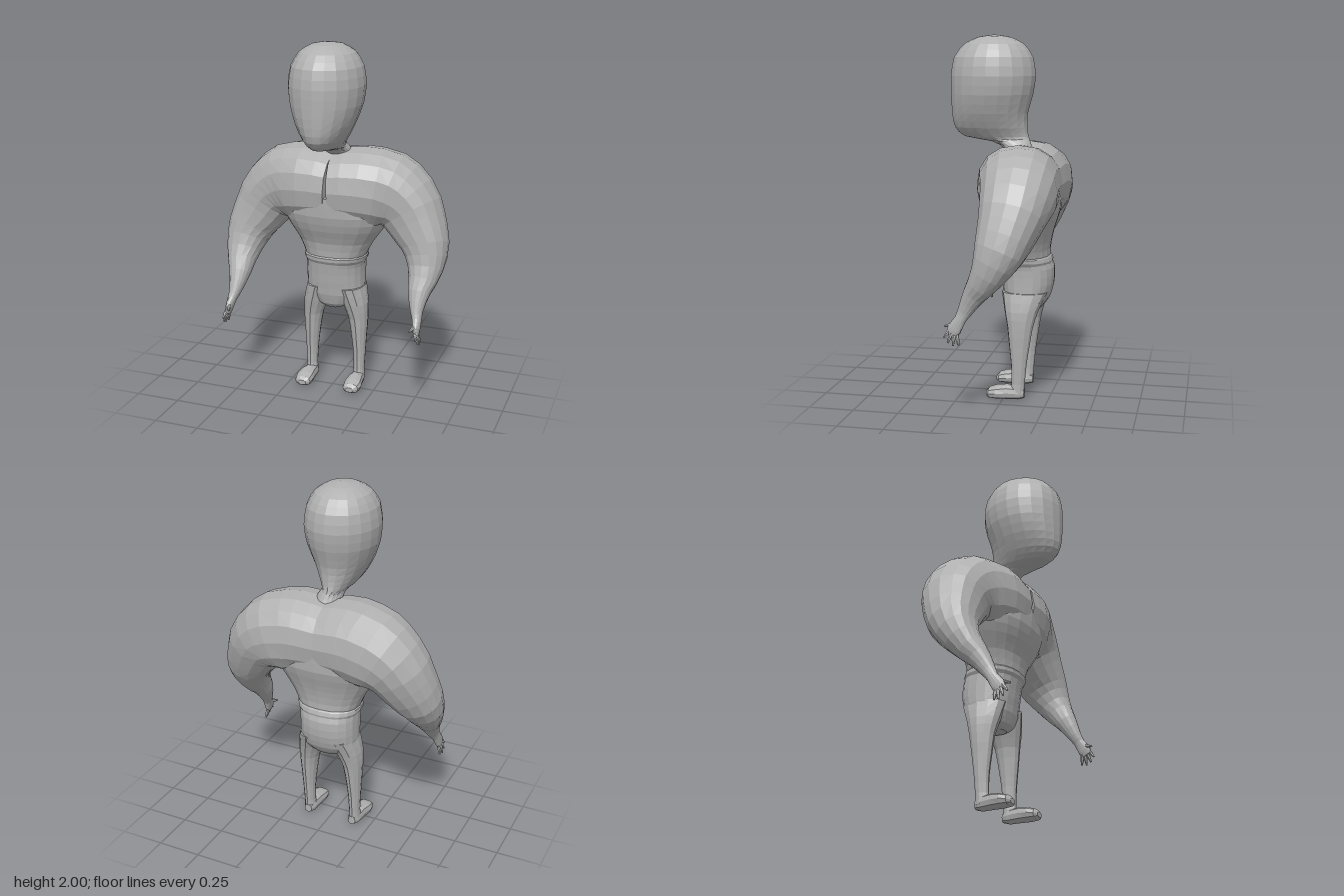
import * as THREE from 'three';

const V = (x, y, z) => new THREE.Vector3(x, y, z);
const Y = V(0, 1, 0), Z = V(0, 0, 1);

// Lofts super-elliptic rings through sections [x, y, z, radiusU, radiusV].
// Rings face along the path, or along fixedT when it is given.
function loft(sections, { sides = 16, sub = 2, ref = Z, fixedT = null, power = 2 } = {}) {
  const path = new THREE.CatmullRomCurve3(sections.map(s => V(s[0], s[1], s[2])));
  const size = new THREE.CatmullRomCurve3(sections.map(s => V(s[3], s[4], 0)));
  const n = (sections.length - 1) * sub;
  const pos = [], index = [];
  const bend = c => Math.sign(c) * Math.abs(c) ** (2 / power);
  for (let i = 0; i <= n; i++) {
    const c = path.getPoint(i / n), r = size.getPoint(i / n);
    const t = fixedT || path.getTangent(i / n);
    const u = ref.clone().cross(t).normalize(), v = t.clone().cross(u).normalize();
    for (let j = 0; j < sides; j++) {
      const a = (j / sides) * Math.PI * 2;
      const p = c.clone().addScaledVector(u, r.x * bend(Math.cos(a))).addScaledVector(v, r.y * bend(Math.sin(a)));
      pos.push(p.x, p.y, p.z);
    }
  }
  for (let i = 0; i < n; i++) {
    for (let j = 0; j < sides; j++) {
      const k = (j + 1) % sides, a = i * sides, b = a + sides;
      index.push(a + j, a + k, b + k, a + j, b + k, b + j);
    }
  }
  // End caps
  const start = pos.length / 3, end = start + 1;
  pos.push(...path.getPoint(0).toArray(), ...path.getPoint(1).toArray());
  for (let j = 0; j < sides; j++) {
    const k = (j + 1) % sides;
    index.push(start, k, j, end, n * sides + j, n * sides + k);
  }
  const g = new THREE.BufferGeometry();
  g.setAttribute('position', new THREE.Float32BufferAttribute(pos, 3));
  g.setIndex(index);
  const flat = g.toNonIndexed(); // separate faces give the faceted look
  flat.computeVertexNormals();
  return flat;
}

// Horizontal rings given bottom-up as [y, centreX, halfWidth, frontZ, backZ]
const stack = (rows, opts) => loft(
  rows.map(([y, x, w, f, b]) => [x, y, (f + b) / 2, w, (f - b) / 2]),
  { fixedT: Y, ...opts });

export function createModel() {
  const model = new THREE.Group();
  const clay = new THREE.MeshStandardMaterial({ color: 0xb0b0b0 });
  clay.name = 'grey clay';
  const add = (name, geometry, parent = model) => {
    const m = new THREE.Mesh(geometry, clay);
    m.name = name;
    parent.add(m);
  };

  // Egg-shaped head running down into the neck
  add('headAndNeck', stack([
    [1.28, 0.02, 0.09, 0.0, -0.21],
    [1.38, 0.02, 0.075, 0.01, -0.145],
    [1.425, 0.01, 0.065, 0.09, -0.125],
    [1.45, 0, 0.08, 0.245, -0.115],
    [1.5, 0, 0.115, 0.3, -0.107],
    [1.58, 0, 0.157, 0.314, -0.11],
    [1.68, 0, 0.193, 0.317, -0.138],
    [1.78, 0, 0.205, 0.317, -0.153],
    [1.88, 0, 0.19, 0.3, -0.138],
    [1.95, 0, 0.148, 0.245, -0.09],
    [1.988, 0, 0.085, 0.17, -0.015],
    [2.0, 0, 0.02, 0.09, 0.06],
  ], { sides: 20 }));

  // Tapering trunk down to the crotch
  add('trunk', stack([
    [0.47, -0.014, 0.05, -0.03, -0.13],
    [0.5, -0.014, 0.11, 0.0, -0.19],
    [0.56, -0.015, 0.165, 0.018, -0.235],
    [0.64, -0.016, 0.167, 0.03, -0.257],
    [0.73, -0.014, 0.168, 0.043, -0.258],
    [0.79, -0.008, 0.175, 0.052, -0.236],
    [0.88, -0.004, 0.217, 0.065, -0.242],
    [0.96, 0, 0.27, 0.1, -0.262],
    [1.05, 0, 0.31, 0.128, -0.29],
    [1.16, 0, 0.29, 0.135, -0.295],
  ], { sides: 20, power: 2.3 }));

  // Raised fold round the waist
  add('waistFold', stack([
    [0.745, -0.012, 0.165, 0.042, -0.245],
    [0.77, -0.01, 0.181, 0.058, -0.25],
    [0.79, -0.008, 0.183, 0.06, -0.243],
    [0.8, -0.008, 0.175, 0.05, -0.235],
  ], { sides: 20, sub: 1, power: 2.3 }));

  for (const s of [1, -1]) {
    const side = s > 0 ? 'left' : 'right';
    // The right hand reaches a little further forward
    const reach = y => (s < 0 ? 0.12 * Math.max(0, 0.95 - y) : 0);
    const place = ([x, y, z, ...r]) => [s * x, y, z + reach(y), ...r];

    // Half of the chest, swelling over the shoulder and down the arm
    const arm = new THREE.Group();
    arm.name = side + 'Arm';
    model.add(arm);
    add(side + 'ChestShoulderAndArm', loft([
      [0, 1.19, -0.08, 0.205, 0.223],
      [0.15, 1.195, -0.087, 0.222, 0.226],
      [0.295, 1.17, -0.112, 0.222, 0.208],
      [0.39, 1.115, -0.112, 0.188, 0.188],
      [0.462, 1.01, -0.09, 0.16, 0.16],
      [0.52, 0.895, -0.055, 0.13, 0.132],
      [0.537, 0.78, 0.0, 0.096, 0.092],
      [0.525, 0.67, 0.075, 0.061, 0.06],
      [0.528, 0.58, 0.125, 0.034, 0.038],
      [0.536, 0.54, 0.147, 0.025, 0.031],
      [0.542, 0.49, 0.176, 0.018, 0.038],
      [0.545, 0.462, 0.19, 0.011, 0.028],
    ].map(place), { sides: 16, power: 2.25 }), arm);

    // Four fingers and a thumb
    [[0.555, 0.41, 0.15], [0.562, 0.408, 0.178], [0.56, 0.422, 0.206], [0.552, 0.447, 0.228], [0.518, 0.5, 0.232]]
      .forEach(([x, y, z], i) => {
        const root = i < 4 ? [0.543, 0.468 + i * 0.007, 0.162 + i * 0.012] : [0.535, 0.515, 0.18];
        const mid = [(x + root[0]) / 2 + 0.002, (y + root[1]) / 2, (z + root[2]) / 2];
        add(side + (i < 4 ? 'Finger' + (i + 1) : 'Thumb'), loft([
          [...root, 0.011, 0.011], [...mid, 0.01, 0.01], [x, y, z, 0.005, 0.005],
        ].map(place), { sides: 6, sub: 1 }), arm);
      });

    // Leg, narrowing from thigh to ankle
    const leg = new THREE.Group();
    leg.name = side + 'Leg';
    leg.position.x = s > 0 ? -0.022 : 0;
    model.add(leg);
    add(side + 'ThighAndShin', stack([
      [0.03, s * 0.155, 0.036, -0.03, -0.118],
      [0.09, s * 0.156, 0.031, -0.045, -0.12],
      [0.2, s * 0.156, 0.036, -0.043, -0.13],
      [0.3, s * 0.153, 0.044, -0.032, -0.145],
      [0.41, s * 0.147, 0.056, -0.02, -0.163],
      [0.5, s * 0.128, 0.073, 0.0, -0.19],
      [0.6, s * 0.1, 0.08, 0.02, -0.235],
    ], { sides: 12 }), leg);

    // Foot, heel to toes
    add(side + 'Foot', loft([
      [s * 0.153, 0.035, -0.118, 0.022, 0.025],
      [s * 0.154, 0.038, -0.085, 0.036, 0.037],
      [s * 0.156, 0.041, -0.02, 0.043, 0.04],
      [s * 0.158, 0.037, 0.04, 0.052, 0.036],
      [s * 0.157, 0.032, 0.08, 0.046, 0.028],
      [s * 0.155, 0.028, 0.096, 0.024, 0.014],
    ], { sides: 10, sub: 1, ref: Y, fixedT: Z, power: 2.5 }), leg);
  }
  return model;
}
